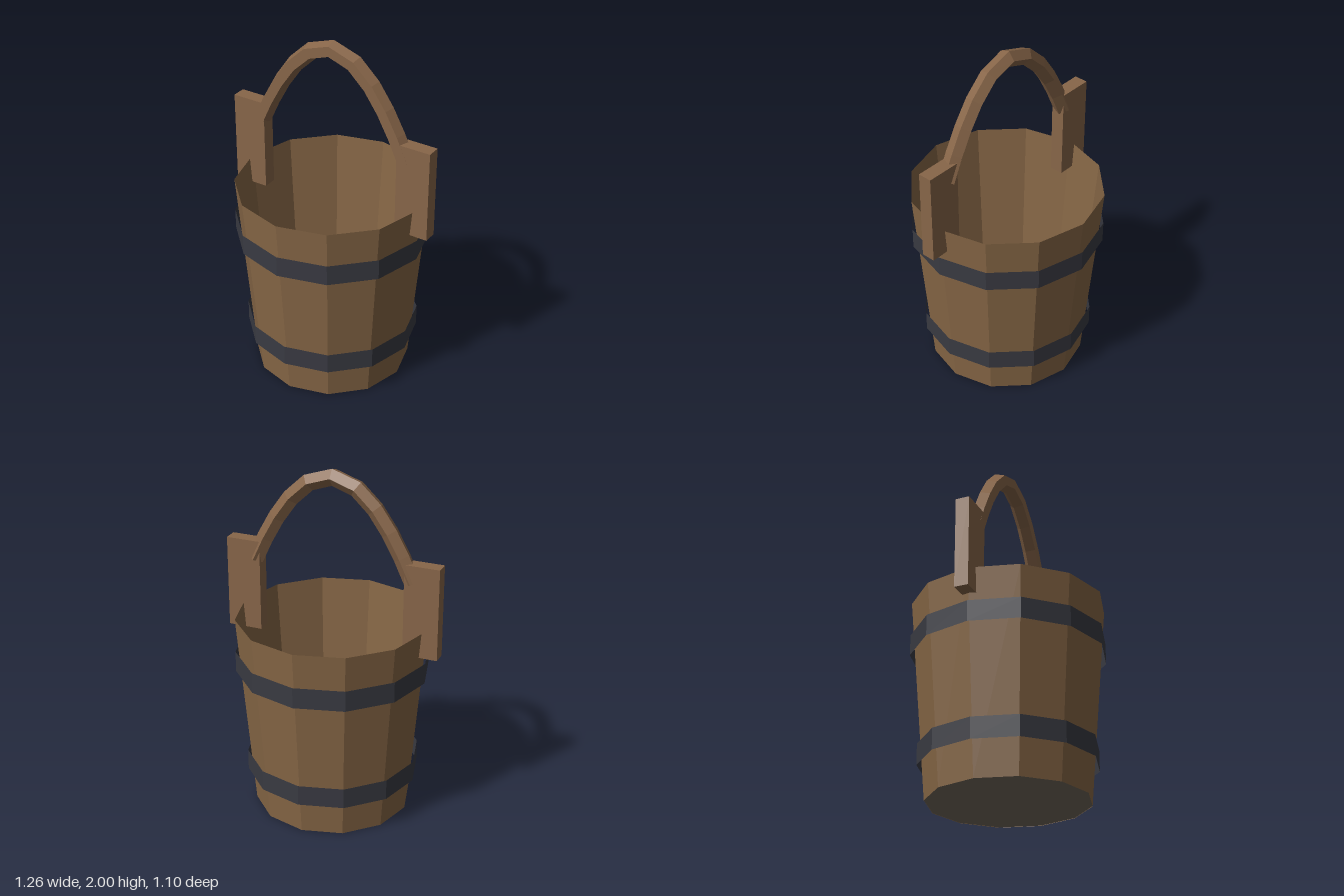
import * as THREE from 'three';

const SIDES = 12;

function material(name, color) {
  const m = new THREE.MeshStandardMaterial({ color, flatShading: true, side: THREE.DoubleSide });
  m.name = name;
  return m;
}

export function createModel() {
  const model = new THREE.Group();
  model.name = 'bucket';

  const staveWood = material('stave wood', 0x876746);
  const handleWood = material('handle wood', 0x886649);
  const iron = material('dark iron', 0x393a42);
  const base = material('grey base', 0x756b5e);

  function add(name, geometry, mat, x = 0, y = 0, z = 0) {
    const mesh = new THREE.Mesh(geometry, mat);
    mesh.name = name;
    mesh.position.set(x, y, z);
    model.add(mesh);
    return mesh;
  }

  // Open tapered wall
  const height = 1.145;
  add('wall', new THREE.CylinderGeometry(0.547, 0.45, height, SIDES, 1, true), staveWood, 0, height / 2);

  // Floor of the bucket
  add('floor', new THREE.CircleGeometry(0.45, SIDES).rotateX(-Math.PI / 2), base, 0, 0.002);

  // Two straight open hoops around the wall
  for (const [name, radius, y] of [['lowerHoop', 0.495, 0.255], ['upperHoop', 0.549, 0.89]]) {
    add(name, new THREE.CylinderGeometry(radius, radius, 0.12, SIDES, 1, true), iron, 0, y);
  }

  // Posts straddling the rim on both sides
  for (const [name, s] of [['leftPost', 1], ['rightPost', -1]]) {
    add(name, new THREE.BoxGeometry(0.2, 0.53, 0.08), handleWood, s * 0.528, 1.265);
  }

  // Five-sided arched handle, one ridge facing the back
  const arch = new THREE.QuadraticBezierCurve3(
    new THREE.Vector3(-0.465, 1.42, 0),
    new THREE.Vector3(0, 2.485, 0),
    new THREE.Vector3(0.465, 1.42, 0)
  );
  const handle = new THREE.TubeGeometry(arch, 10, 0.05, 5, false).rotateY(Math.PI);
  add('handle', handle, handleWood);

  return model;
}
